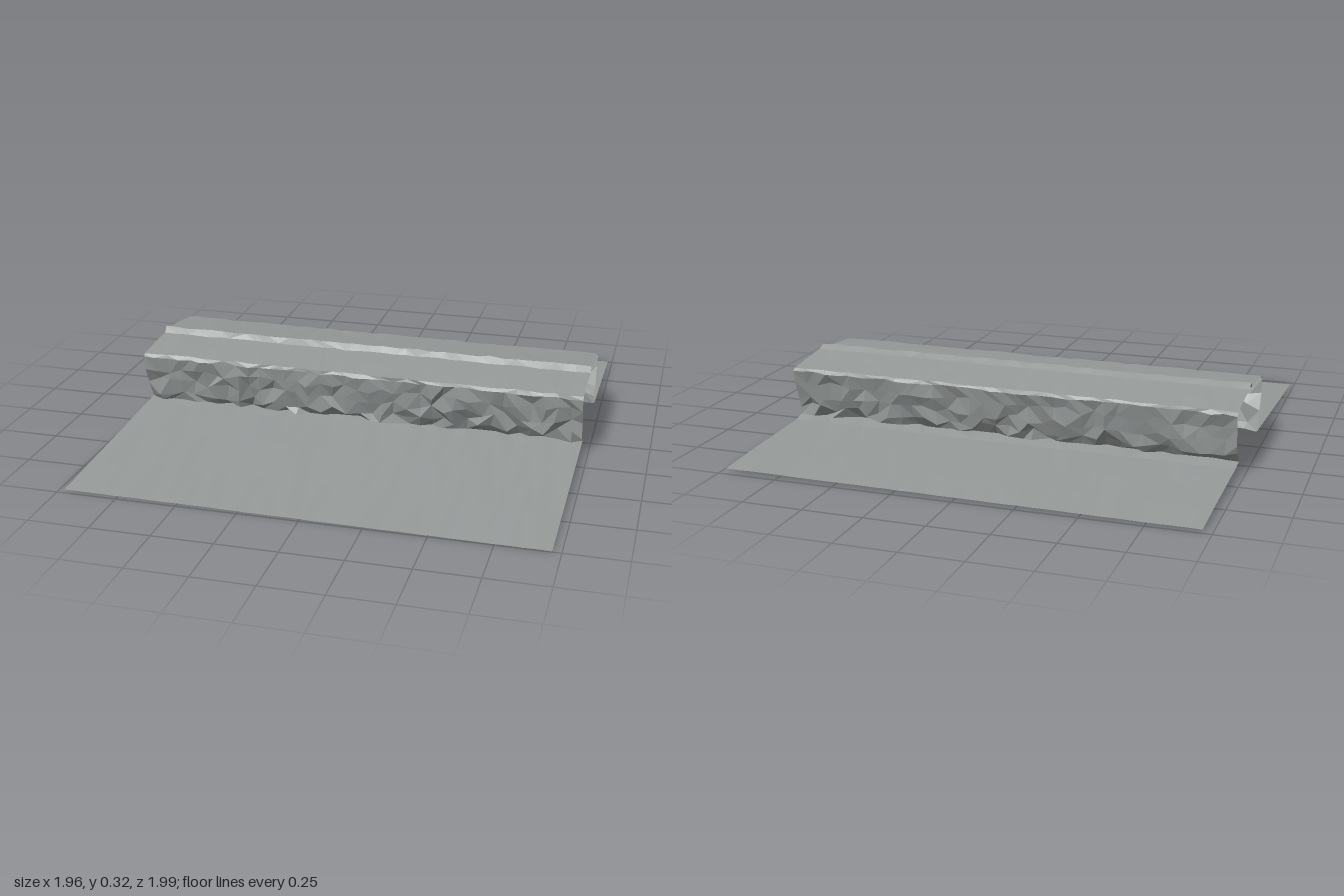
import * as THREE from 'three';

const COLS = 36;

// Repeatable noise in -1..1 for a profile row and a column
function noise(row, col) {
  const s = Math.sin(row * 127.1 + col * 311.7 + 4.2) * 43758.5453;
  return (s - Math.floor(s)) * 2 - 1;
}

// Cross-section from front to back: [z, y, z roughness, y roughness]
const profile = [
  [0.985, 0.008, 0, 0.001],
  [0.70, 0.022, 0.01, 0.001],
  [0.40, 0.037, 0.01, 0.001],
  [0.15, 0.050, 0.006, 0.002],
  [0.093, 0.054, 0.028, 0.003], // foot of the front wall
  [0.112, 0.095, 0.016, 0.022],
  [0.125, 0.150, 0.013, 0.018],
  [0.138, 0.210, 0.011, 0.016],
  [0.150, 0.268, 0.006, 0.005], // front eave
  [0.143, 0.282, 0.005, 0.002],
  [0.03, 0.291, 0.008, 0.001],
  [-0.088, 0.298, 0.005, 0.002], // ridge
  [-0.113, 0.321, 0.004, 0.003],
  [-0.150, 0.305, 0.004, 0.001],
  [-0.27, 0.292, 0.008, 0.001],
  [-0.385, 0.279, 0.005, 0.002], // back eave
  [-0.396, 0.266, 0.006, 0.005],
  [-0.380, 0.210, 0.011, 0.016],
  [-0.365, 0.150, 0.011, 0.018],
  [-0.350, 0.095, 0.014, 0.018],
  [-0.325, 0.055, 0.025, 0.003], // foot of the back wall
  [-0.39, 0.045, 0.006, 0.002],
  [-0.60, 0.037, 0.01, 0.001],
  [-0.80, 0.029, 0.01, 0.001],
  [-0.985, 0.020, 0, 0.001],
];

// A point on the sheet, with the slight turn of the whole slab
function point(row, col) {
  const [z0, y0, rz, ry] = profile[row];
  const inner = col > 0 && col < COLS;
  const x0 = (col / COLS * 2 - 1) * 0.973 + (inner ? noise(row + 50, col) * 0.012 : 0);
  const z = z0 + noise(row, col) * rz;
  const y = y0 + noise(row + 100, col) * ry;
  return [x0 - 0.009 * z, y, z + 0.012 * x0];
}

// Faceted strip between two profile rows
function strip(name, first, last, material) {
  const positions = [];
  const add = (...corners) => corners.forEach((c) => positions.push(...c));
  for (let r = first; r < last; r++) {
    for (let c = 0; c < COLS; c++) {
      const a = point(r, c), b = point(r, c + 1);
      const d = point(r + 1, c), e = point(r + 1, c + 1);
      // vary the diagonal so the rock facets look irregular
      if (noise(r + 200, c) > 0) add(a, b, e, a, e, d);
      else add(a, b, d, b, e, d);
    }
  }
  const geometry = new THREE.BufferGeometry();
  geometry.setAttribute('position', new THREE.Float32BufferAttribute(positions, 3));
  geometry.computeVertexNormals();
  const mesh = new THREE.Mesh(geometry, material);
  mesh.name = name;
  return mesh;
}

export function createModel() {
  const stone = new THREE.MeshStandardMaterial({ color: 0x969b9a });
  stone.name = 'grey stone';
  stone.side = THREE.DoubleSide;
  stone.flatShading = true;

  const model = new THREE.Group();
  model.name = 'raisedEmbankment';
  model.add(
    strip('frontGround', 0, 4, stone),
    strip('frontRockWall', 4, 9, stone),
    strip('frontTop', 9, 11, stone),
    strip('ridge', 11, 13, stone),
    strip('backTop', 13, 15, stone),
    strip('backRockWall', 15, 20, stone),
    strip('backGround', 20, 24, stone),
  );
  return model;
}
